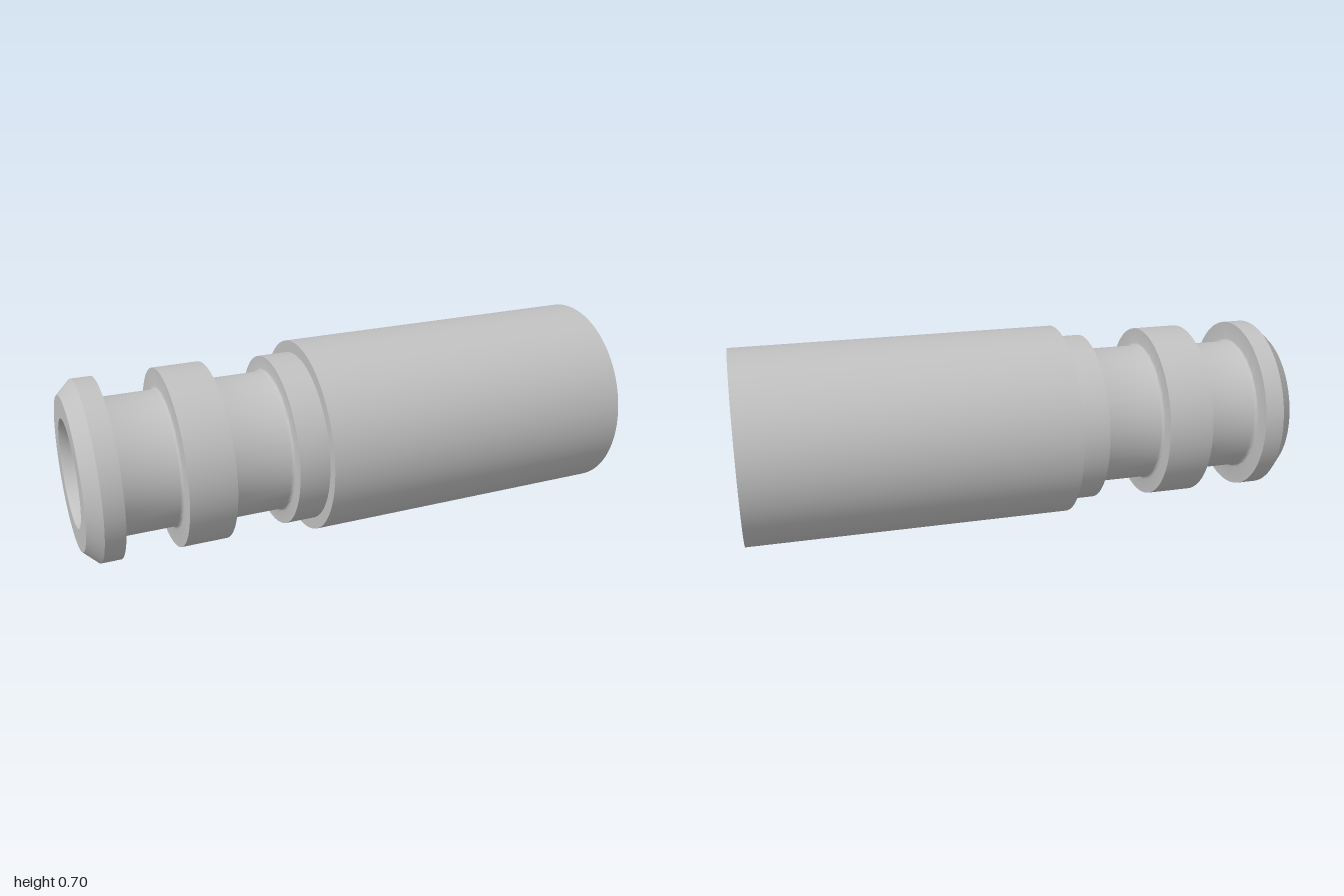
import * as THREE from 'three';
import { toCreasedNormals } from 'three/addons/utils/BufferGeometryUtils.js';

const AXIS_HEIGHT = 0.35;
const FILLET = 0.01;

// Quarter-round between a groove floor and the shoulder beside it.
// side = 1 starts the groove (shoulder on its left), -1 ends it.
function fillet(x, floor, side) {
  const points = [];
  for (let i = 0; i <= 3; i++) {
    const a = (i / 3) * Math.PI / 2;
    points.push([floor + FILLET * (1 - Math.sin(a)), x + side * FILLET * (1 - Math.cos(a))]);
  }
  return side > 0 ? points : points.reverse();
}

// Groove floor between two shoulders, with filleted corners
function groove(x0, x1, floor) {
  return [...fillet(x0, floor, 1), ...fillet(x1, floor, -1)];
}

// Turned part: [radius, x] points spun around the long axis
function turned(name, profile, material) {
  const lathe = new THREE.LatheGeometry(profile.map(([r, x]) => new THREE.Vector2(r, x)), 96);
  const geometry = toCreasedNormals(lathe, 0.6);
  geometry.rotateZ(-Math.PI / 2);
  const mesh = new THREE.Mesh(geometry, material);
  mesh.name = name;
  mesh.position.y = AXIS_HEIGHT;
  return mesh;
}

export function createModel() {
  const group = new THREE.Group();
  group.name = 'tubeFitting';
  const metal = new THREE.MeshStandardMaterial({ color: 0xc0c0c0 });
  metal.name = 'light grey metal';

  // Grooved stem: chamfered flange, two grooves, a collar and a shoulder
  group.add(turned('groovedStem', [
    [0.19, -1], [0.27, -1], [0.318, -0.95], [0.318, -0.88],
    ...groove(-0.88, -0.67, 0.243),
    [0.318, -0.67], [0.318, -0.505],
    ...groove(-0.505, -0.28, 0.253),
    [0.308, -0.28], [0.308, -0.17],
  ], metal));

  // Outer sleeve with its tapered inner wall
  const pocketFloor = 0.7;
  group.add(turned('outerSleeve', [
    [0.308, -0.17], [0.35, -0.17], [0.35, 1], [0.321, 1], [0.288, pocketFloor],
  ], metal));

  // Ring-shaped pocket floor and the tapered inner spigot
  group.add(turned('innerSpigot', [
    [0.288, pocketFloor], [0.23, pocketFloor], [0.21, 1], [0.175, 1],
  ], metal));

  // Through bore, slightly flared at the stem end
  group.add(turned('bore', [
    [0.175, 1], [0.175, -0.97], [0.19, -1],
  ], metal));

  return group;
}
